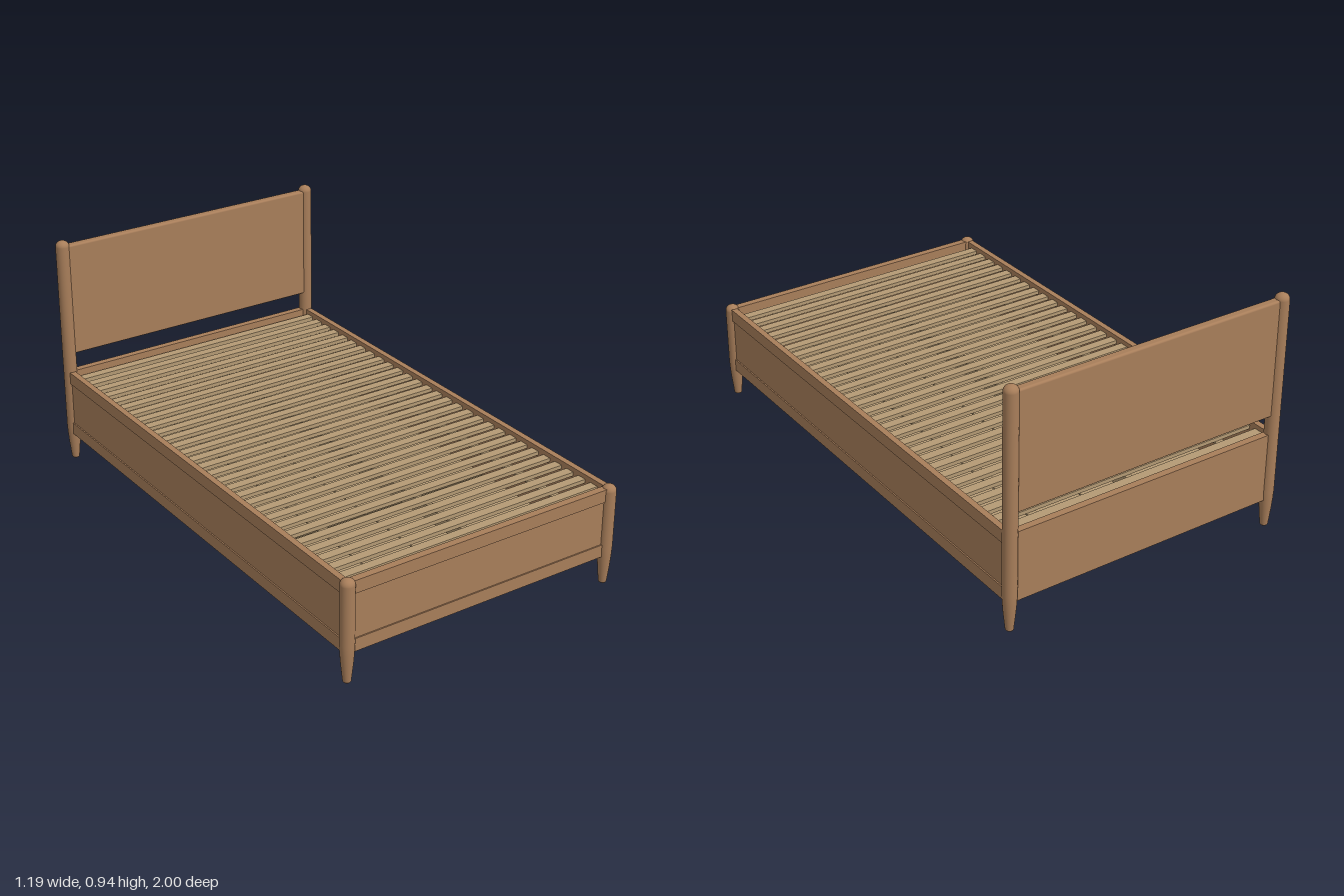
import * as THREE from 'three';
import { RoundedBoxGeometry } from 'three/addons/geometries/RoundedBoxGeometry.js';

const wood = new THREE.MeshStandardMaterial({ color: 0xa87e5a });
wood.name = 'brown wood';
const slatWood = new THREE.MeshStandardMaterial({ color: 0xb49a74 });
slatWood.name = 'pale slat wood';

const POST_X = 0.566, POST_Z = 0.973, POST_R = 0.027;

export function createModel() {
  const bed = new THREE.Group();
  bed.name = 'bed';

  const add = (name, geometry, material, x, y, z) => {
    const mesh = new THREE.Mesh(geometry, material);
    mesh.name = name;
    mesh.position.set(x, y, z);
    bed.add(mesh);
    return mesh;
  };
  // Box given by its limits on each axis
  const box = (name, material, [x0, x1], [y0, y1], [z0, z1]) =>
    add(name, new THREE.BoxGeometry(x1 - x0, y1 - y0, z1 - z0), material,
      (x0 + x1) / 2, (y0 + y1) / 2, (z0 + z1) / 2);

  // Round post: tapered foot, straight shaft, domed cap
  const post = (name, height, x, z) => {
    const points = [[0, 0], [0.013, 0], [0.015, 0.003], [0.0225, 0.075], [0.0255, 0.115], [POST_R, 0.15]]
      .map(([r, y]) => new THREE.Vector2(r, y));
    for (let i = 0; i <= 8; i++) {
      const a = (i / 8) * Math.PI / 2;
      points.push(new THREE.Vector2(Math.max(0, POST_R * Math.cos(a)), height - 0.024 + 0.024 * Math.sin(a)));
    }
    add(name, new THREE.LatheGeometry(points, 32), wood, x, 0, z);
  };
  for (const side of [-1, 1]) {
    const label = side > 0 ? 'left' : 'right';
    post(label + 'HeadPost', 0.945, side * POST_X, -POST_Z);
    post(label + 'FootPost', 0.402, side * POST_X, POST_Z);
  }

  // Headboard with softened edges, and the plain rail under it
  add('headboard', new RoundedBoxGeometry(2 * POST_X, 0.46, 0.034, 3, 0.008), wood, 0, 0.695, -0.971);
  box('headRail', wood, [-POST_X, POST_X], [0.115, 0.39], [-0.985, -0.957]);

  // Rails and footboard: a recessed panel between an upper and a lower strip
  const strips = [['UpperStrip', 0.34, 0.39, 0], ['Panel', 0.165, 0.34, 0.005], ['LowerStrip', 0.115, 0.165, 0]];
  for (const [part, y0, y1, recess] of strips) {
    box('foot' + part, wood, [-POST_X, POST_X], [y0, y1], [0.955, 0.984 - recess]);
    box('leftRail' + part, wood, [0.556, 0.58 - recess], [y0, y1], [-POST_Z, POST_Z]);
    box('rightRail' + part, wood, [-0.58 + recess, -0.556], [y0, y1], [-POST_Z, POST_Z]);
  }

  // Slats across the bed
  for (let i = 0; i < 29; i++) {
    const z = -0.937 + i * 0.0651;
    box('slat', slatWood, [-0.558, 0.558], [0.357, 0.372], [z, z + 0.037]);
  }

  // Lengthwise supports under the slats
  for (const x of [-0.41, 0.41]) {
    box('slatStrap', slatWood, [x - 0.018, x + 0.018], [0.35, 0.357], [-0.93, 0.925]);
  }
  box('centreBeam', slatWood, [-0.013, 0.013], [0.3, 0.357], [-0.925, 0.92]);

  // Four base panels with narrow gaps between them
  for (const xs of [[-0.556, -0.003], [0.003, 0.556]]) {
    for (const zs of [[-0.942, 0.274], [0.286, 0.935]]) {
      box('basePanel', slatWood, xs, [0.123, 0.137], zs);
    }
  }
  return bed;
}
